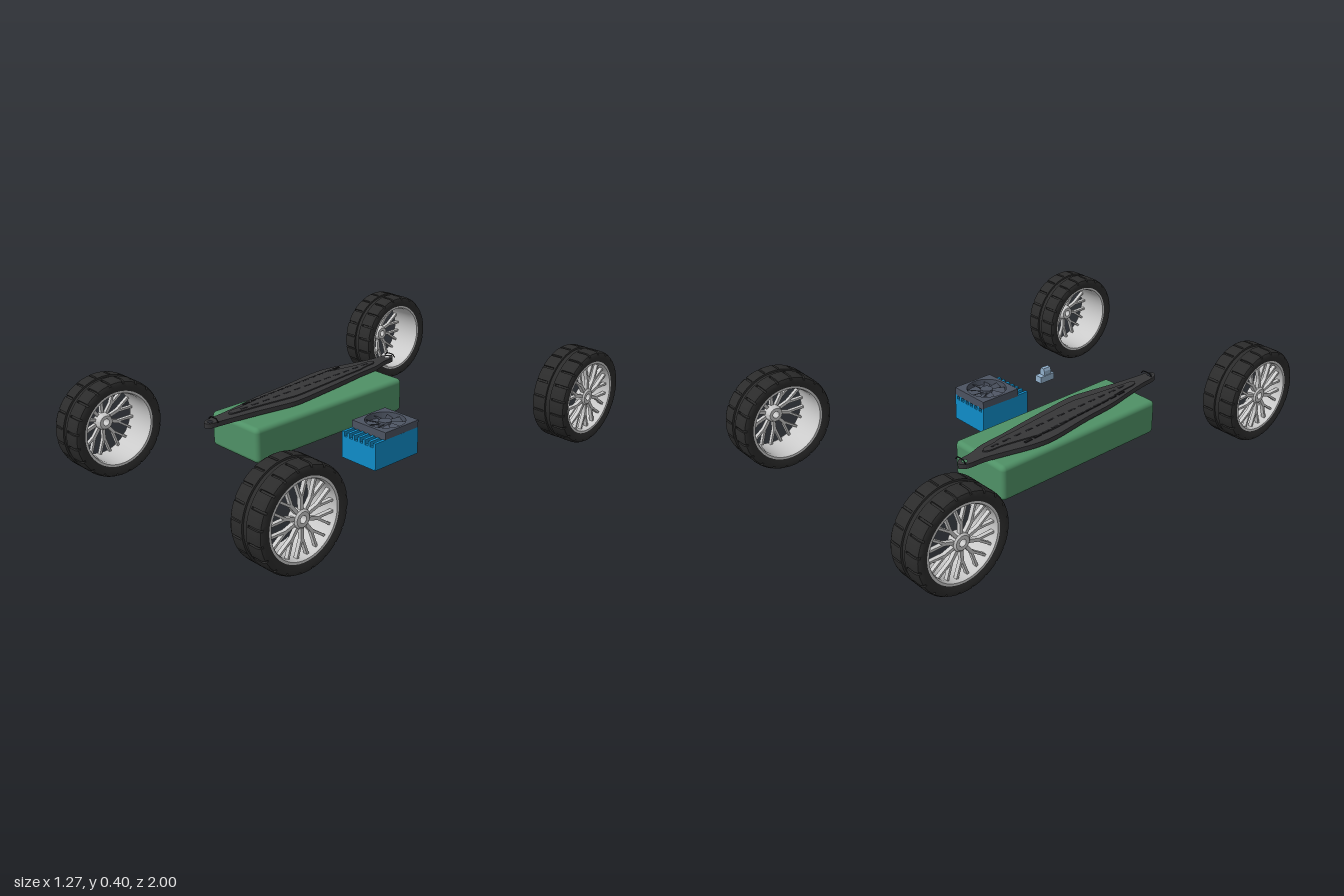
import * as THREE from 'three';
import { mergeGeometries, toCreasedNormals } from 'three/addons/utils/BufferGeometryUtils.js';
import { RoundedBoxGeometry } from 'three/addons/geometries/RoundedBoxGeometry.js';

const V2 = (x, y) => new THREE.Vector2(x, y);
const mat = (color) => new THREE.MeshStandardMaterial({ color });
const rubber = mat(0x2b2b2b), metal = mat(0xcccccc), green = mat(0x4f9166), blue = mat(0x0f8cc8);
const slate = mat(0x4b5260), carbon = mat(0x363638), black = mat(0x1c1c1e), paleBlue = mat(0x92b0cc);

function add(parent, name, geometry, material, x = 0, y = 0, z = 0) {
  const mesh = new THREE.Mesh(geometry, material);
  mesh.name = name;
  mesh.position.set(x, y, z);
  parent.add(mesh);
  return mesh;
}

// Box given by its min and max on each axis
function span(parent, name, material, x0, x1, y0, y1, z0, z1) {
  return add(parent, name, new THREE.BoxGeometry(x1 - x0, y1 - y0, z1 - z0), material,
    (x0 + x1) / 2, (y0 + y1) / 2, (z0 + z1) / 2);
}

// Turned part with its axis along x
function turned(points, segments) {
  const g = new THREE.LatheGeometry(points.map((p) => V2(p[0], p[1])), segments);
  return toCreasedNormals(g.rotateZ(-Math.PI / 2), 0.6);
}

// Tyre: turned section with a centre groove, cross slots sunk into the tread
function tyreGeometry() {
  const half = [[0.2, 0.011], [0.2, 0.019], [0.2, 0.0195], [0.2, 0.058], [0.199, 0.066],
    [0.194, 0.075], [0.186, 0.0785], [0.172, 0.0785], [0.153, 0.073]];
  const profile = [[0.15, -0.07], ...half.map(([r, y]) => [r, -y]).reverse(),
    [0.193, -0.01], [0.193, 0.01], ...half, [0.15, 0.07], [0.15, -0.07]];
  const pitch = [0, 0.2, 0.43, 0.44, 0.56, 0.57, 0.8], slots = 20, k = pitch.length;
  const g = new THREE.LatheGeometry(profile.map((p) => V2(p[0], p[1])), slots * k);
  const pos = g.attributes.position, n = profile.length;
  for (let v = 0; v < pos.count; v++) {
    const col = Math.floor(v / n), [r0, y] = profile[v % n];
    const a = ((Math.floor(col / k) + pitch[col % k]) / slots) * Math.PI * 2;
    const sunk = (col % k === 3 || col % k === 4) && r0 > 0.19 && Math.abs(y) > 0.0192;
    const r = sunk ? r0 - 0.007 : r0;
    pos.setXYZ(v, r * Math.sin(a), y, r * Math.cos(a));
  }
  return toCreasedNormals(g.rotateZ(-Math.PI / 2), 0.5);
}

// Ten forked spokes, drawn flat and then turned to face +x
function spokeGeometry() {
  const bars = [];
  const bar = (r0, a0, r1, a1, w) => {
    const p = V2(r0 * Math.cos(a0), r0 * Math.sin(a0)), q = V2(r1 * Math.cos(a1), r1 * Math.sin(a1));
    const d = q.clone().sub(p);
    bars.push(new THREE.BoxGeometry(d.length(), w, 0.016).rotateZ(d.angle())
      .translate((p.x + q.x) / 2, (p.y + q.y) / 2, 0));
  };
  for (let i = 0; i < 10; i++) {
    const a = ((i + 0.5) / 10) * Math.PI * 2;
    bar(0.026, a, 0.078, a, 0.013);
    for (const s of [-1, 1]) bar(0.07, a, 0.148, a + s * 0.17, 0.009);
  }
  return mergeGeometries(bars).rotateY(Math.PI / 2);
}

// Flat plate in x and z with its underside at y = 0
function plateGeometry(points, depth, holes = []) {
  const curve = new THREE.SplineCurve([...points, points[0]].map(([x, z]) => V2(x, -z)));
  const shape = new THREE.Shape(curve.getPoints(110));
  for (const [x, z] of holes) {
    shape.holes.push(new THREE.Path().absarc(x, -z, 0.011, 0, Math.PI * 2, true));
  }
  return new THREE.ExtrudeGeometry(shape, { depth, bevelEnabled: false, curveSegments: 16 })
    .rotateX(-Math.PI / 2);
}

function buildWheels(root) {
  const tyre = tyreGeometry(), spokes = spokeGeometry();
  const rim = turned([[0.147, -0.074], [0.156, -0.074], [0.156, 0.074], [0.147, 0.074],
    [0.142, 0.064], [0.142, -0.06], [0.147, -0.074]], 64);
  const hub = turned([[0.014, 0.02], [0.028, 0.02], [0.035, 0.036], [0.035, 0.06], [0.028, 0.066],
    [0.014, 0.066], [0.014, 0.02]], 32);
  const spots = [['frontLeft', 0.535, 0.8], ['frontRight', -0.542, 0.8],
    ['rearLeft', 0.556, -0.8], ['rearRight', -0.56, -0.8]];
  for (const [name, x, z] of spots) {
    const wheel = new THREE.Group();
    wheel.name = name + 'Wheel';
    wheel.position.set(x, 0.2, z);
    if (x < 0) wheel.rotation.y = Math.PI;
    add(wheel, 'tyre', tyre, rubber);
    add(wheel, 'rim', rim, metal);
    add(wheel, 'spokes', spokes, metal, 0.052);
    add(wheel, 'hub', hub, metal);
    root.add(wheel);
  }
}

function buildController(root) {
  const unit = new THREE.Group();
  unit.name = 'speedController';
  span(unit, 'case', blue, 0.105, 0.29, 0.055, 0.15, -0.105, 0.14);
  for (let i = 0; i < 7; i++) {
    const x = 0.1115 + i * 0.0287;
    span(unit, 'coolingFin', blue, x - 0.0065, x + 0.0065, 0.15, 0.17, -0.105, 0.14);
  }
  // Fan: square frame with a round well, blades and hub
  const fan = new THREE.Group();
  fan.name = 'fan';
  fan.position.set(0.1975, 0.166, -0.01);
  const w = 0.0925, h = 0.095;
  const frame = new THREE.Shape([V2(-w, -h), V2(w, -h), V2(w, h), V2(-w, h)]);
  frame.holes.push(new THREE.Path().absarc(0, 0, 0.083, 0, Math.PI * 2, true));
  add(fan, 'fanFrame', new THREE.ExtrudeGeometry(frame,
    { depth: 0.035, bevelEnabled: false, curveSegments: 24 }).rotateX(-Math.PI / 2), slate);
  add(fan, 'fanFloor', new THREE.CylinderGeometry(0.084, 0.084, 0.008, 48), slate, 0, 0.005);
  add(fan, 'fanHub', new THREE.CylinderGeometry(0.026, 0.026, 0.026, 32), slate, 0, 0.02);
  const blade = new THREE.BoxGeometry(0.056, 0.003, 0.026).rotateX(0.5).translate(0.051, 0.019, 0);
  for (let i = 0; i < 9; i++) add(fan, 'fanBlade', blade, slate).rotation.y = (i / 9) * Math.PI * 2;
  unit.add(fan);
  root.add(unit);
}

function buildStrap(root) {
  const strap = new THREE.Group();
  strap.name = 'batteryStrap';
  const outline = [[-0.257, -0.527], [-0.236, -0.508], [-0.231, -0.484], [-0.224, -0.437], [-0.204, -0.368],
    [-0.193, -0.262], [-0.177, -0.156], [-0.156, 0.003], [-0.14, 0.15], [-0.15, 0.24],
    [-0.172, 0.373], [-0.187, 0.495], [-0.194, 0.558], [-0.215, 0.576], [-0.24, 0.548],
    [-0.251, 0.463], [-0.267, 0.373], [-0.294, 0.24], [-0.31, 0.082], [-0.337, -0.103],
    [-0.334, -0.209], [-0.304, -0.341], [-0.287, -0.42], [-0.281, -0.5]];
  const ends = [[-0.257, -0.495], [-0.214, 0.55]];
  add(strap, 'strapPlate', plateGeometry(outline, 0.02, ends), carbon, 0, 0.214);
  // Raised middle, a smaller copy of the outline
  const inner = outline.map(([x, z]) => [-0.237 + (x + 0.237) * 0.6, 0.02 + (z - 0.02) * 0.77]);
  add(strap, 'raisedPanel', plateGeometry(inner, 0.005), carbon, 0, 0.234);
  // Two rows of dark slots
  const row = (n, x0, z0, x1, z1, top) => {
    for (let i = 0; i < n; i++) {
      const t = i / (n - 1);
      add(strap, 'slot', new THREE.BoxGeometry(0.009, 0.004, 0.036), black,
        x0 + (x1 - x0) * t, top, z0 + (z1 - z0) * t).rotation.y = Math.atan2(x1 - x0, z1 - z0);
    }
  };
  row(13, -0.247, -0.34, -0.222, 0.37, 0.2378);
  row(12, -0.303, -0.22, -0.258, 0.33, 0.2375);
  // Bent wire clip beside each end hole
  for (const [x, z] of ends) {
    const path = new THREE.CatmullRomCurve3([[-0.025, 0.236], [-0.012, 0.248], [0.022, 0.248],
      [0.034, 0.236]].map(([dx, y]) => new THREE.Vector3(x + dx, y, z - 0.014)), false, 'catmullrom', 0.2);
    add(strap, 'wireClip', new THREE.TubeGeometry(path, 20, 0.0025, 8), black);
  }
  root.add(strap);
}

function buildConnector(root) {
  const plug = new THREE.Group();
  plug.name = 'connector';
  span(plug, 'connectorBase', paleBlue, 0.289, 0.326, 0.055, 0.086, 0.386, 0.467);
  // Tapered cap
  const cap = new THREE.Shape([V2(-0.014, 0), V2(0.014, 0), V2(0.014, 0.022), V2(0.009, 0.034),
    V2(-0.009, 0.034), V2(-0.014, 0.022)]);
  add(plug, 'connectorCap', new THREE.ExtrudeGeometry(cap, { depth: 0.04, bevelEnabled: false }),
    paleBlue, 0.3075, 0.085, 0.41);
  root.add(plug);
}

export function createModel() {
  const root = new THREE.Group();
  root.name = 'carParts';
  buildWheels(root);
  add(root, 'battery', new RoundedBoxGeometry(0.287, 0.151, 0.83, 4, 0.02), green, -0.2135, 0.1305, 0.02);
  buildStrap(root);
  buildController(root);
  buildConnector(root);
  return root;
}
